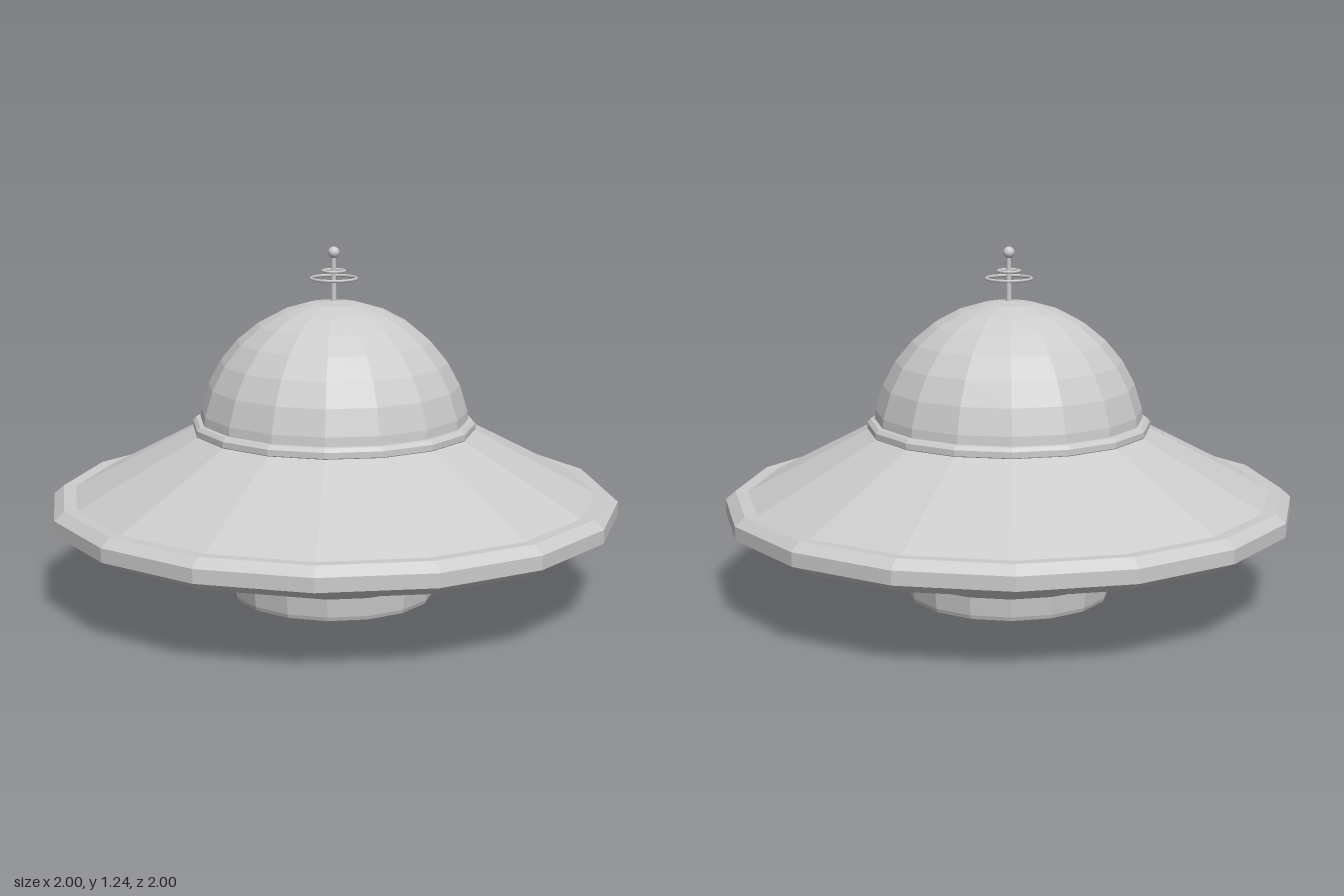
import * as THREE from 'three';

const SIDES = 16;
const material = new THREE.MeshStandardMaterial({ color: 0xcccccc, flatShading: true });
const smooth = new THREE.MeshStandardMaterial({ color: 0xcccccc });

export function createModel() {
  const group = new THREE.Group();

  const add = (name, geometry, y = 0, mat = material) => {
    const mesh = new THREE.Mesh(geometry, mat);
    mesh.name = name;
    mesh.position.y = y;
    group.add(mesh);
    return mesh;
  };
  // Faceted solid of revolution; profile runs from bottom to top
  const lathe = (name, profile) =>
    add(name, new THREE.LatheGeometry(profile.map(([r, y]) => new THREE.Vector2(r, y)), SIDES));

  // Landing base with a shallow recess underneath
  lathe('base', [
    [0, 0.022], [0.325, 0.022], [0.33, 0.003], [0.34, 0], [0.355, 0.006], [0.36, 0.02], [0.367, 0.09],
  ]);

  // Saucer: sloping underside, bevelled rim, sloping top
  lathe('saucer', [
    [0, 0.085], [0.365, 0.085], [0.86, 0.26], [0.92, 0.26], [1, 0.302], [1, 0.35],
    [0.965, 0.38], [0.92, 0.378], [0.49, 0.605], [0.45, 0.61],
  ]);

  // Collar around the foot of the dome
  lathe('collar', [
    [0.47, 0.595], [0.492, 0.598], [0.497, 0.605], [0.497, 0.625], [0.485, 0.638], [0.46, 0.64],
  ]);

  // Dome
  add('dome', new THREE.SphereGeometry(0.477, SIDES, 8, 0, Math.PI * 2, 0, Math.PI / 2), 0.577);

  // Antenna: mast, two rings joined by spokes, and a ball tip
  add('antennaMast', new THREE.CylinderGeometry(0.007, 0.01, 0.18, 12), 1.125, smooth);
  add('antennaTip', new THREE.SphereGeometry(0.02, 16, 12), 1.222, smooth);
  for (const [radius, y] of [[0.079, 1.132], [0.038, 1.158]]) {
    add('antennaRing', new THREE.TorusGeometry(radius, 0.005, 8, 32), y, smooth).rotation.x = Math.PI / 2;
  }

  return group;
}
